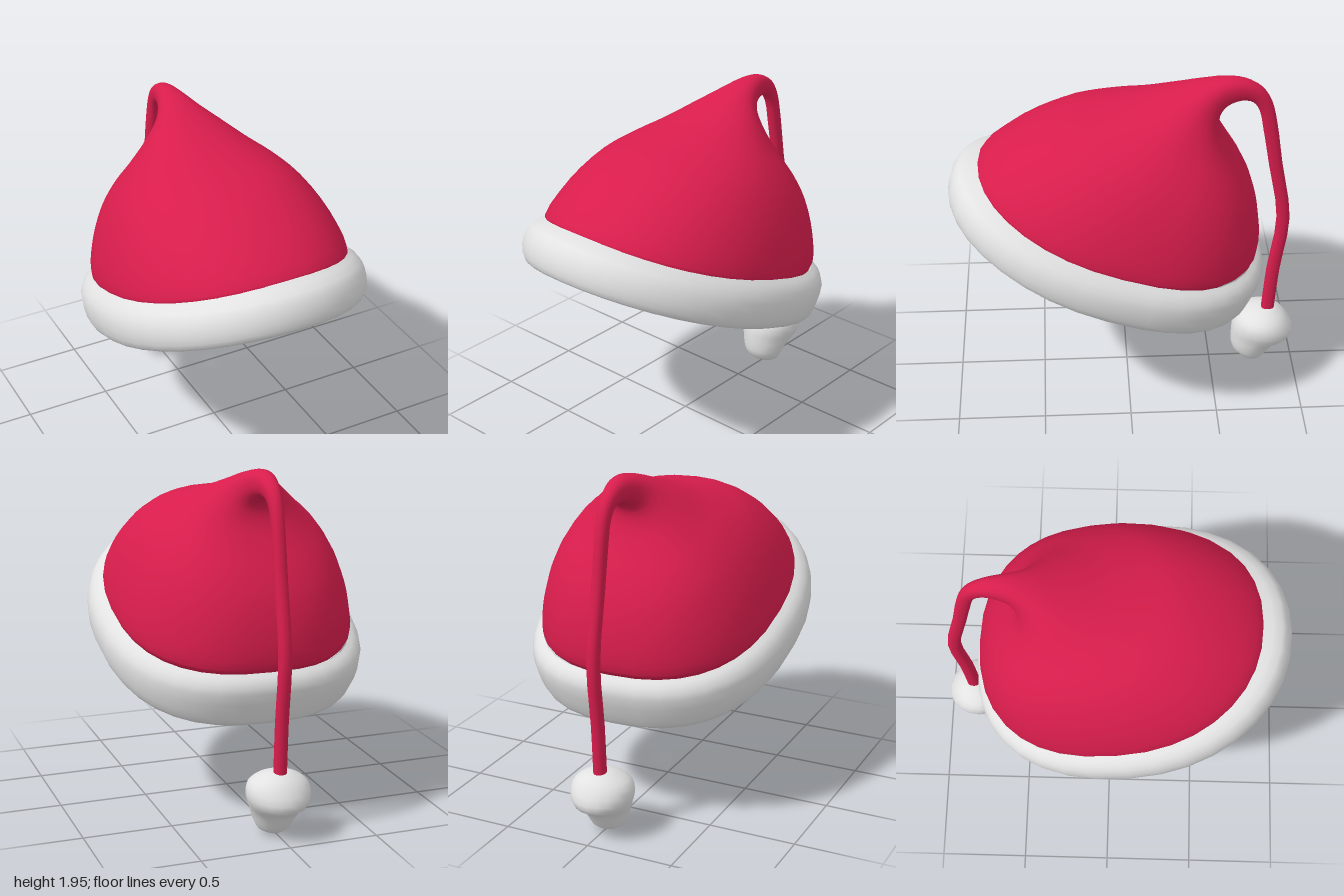
import * as THREE from 'three';

// Loft through rings given as [frontZ, frontY, backZ, backY, halfWidth, sideSag].
// frontPower and backPower square off the two halves of each ring (2 is an ellipse).
function loft(rings, { segments = 36, steps = 2, frontPower = 2, backPower = 2, caps = false } = {}) {
  const front = new THREE.CatmullRomCurve3(rings.map(r => new THREE.Vector3(r[4], r[1], r[0])));
  const back = new THREE.CatmullRomCurve3(rings.map(r => new THREE.Vector3(r[5] || 0, r[3], r[2])));
  const rows = (rings.length - 1) * steps;
  const positions = [], indices = [];
  const bulge = (v, power) => Math.sign(v) * Math.pow(Math.abs(v), 2 / power);
  for (let i = 0; i <= rows; i++) {
    const f = front.getPoint(i / rows), b = back.getPoint(i / rows);
    for (let j = 0; j < segments; j++) {
      const a = (j / segments) * Math.PI * 2;
      const power = Math.cos(a) > 0 ? frontPower : backPower;
      const c = bulge(Math.cos(a), power), s = bulge(Math.sin(a), power);
      positions.push(
        f.x * s,
        (f.y + b.y) / 2 + ((f.y - b.y) / 2) * c - b.x * s * s,
        (f.z + b.z) / 2 + ((f.z - b.z) / 2) * c
      );
    }
  }
  for (let i = 0; i < rows; i++) {
    for (let j = 0; j < segments; j++) {
      const k = (j + 1) % segments;
      const p = i * segments + j, q = i * segments + k;
      indices.push(p, q, p + segments, q, q + segments, p + segments);
    }
  }
  if (caps) {
    // Close both ends with a fan around the ring centre
    for (const row of [0, rows]) {
      const r = rings[row ? rings.length - 1 : 0];
      const centre = positions.length / 3, base = row * segments;
      positions.push(0, (r[1] + r[3]) / 2, (r[0] + r[2]) / 2);
      for (let j = 0; j < segments; j++) {
        const p = base + j, q = base + (j + 1) % segments;
        if (row) indices.push(p, q, centre);
        else indices.push(q, p, centre);
      }
    }
  }
  const geometry = new THREE.BufferGeometry();
  geometry.setAttribute('position', new THREE.Float32BufferAttribute(positions, 3));
  geometry.setIndex(indices);
  geometry.computeVertexNormals();
  return geometry;
}

export function createModel() {
  const red = new THREE.MeshStandardMaterial({ color: 0xd81d4c, side: THREE.DoubleSide });
  red.name = 'red felt';
  const white = new THREE.MeshStandardMaterial({ color: 0xe2e2e2, side: THREE.DoubleSide });
  white.name = 'white fur';

  const model = new THREE.Group();
  model.name = 'floppyHat';
  const add = (name, geometry, material) => {
    const mesh = new THREE.Mesh(geometry, material);
    mesh.name = name;
    model.add(mesh);
  };

  // Crown, rising to a peak that leans back
  const crown = [
    [0.825, 1.415, -0.71, 0.885, 0.655, 0.06],
    [0.825, 1.46, -0.742, 0.92, 0.672, 0.06],
    [0.65, 1.60, -0.746, 1.08, 0.63, 0.035],
    [0.39, 1.722, -0.71, 1.26, 0.542, 0.015],
    [0.16, 1.77, -0.65, 1.40, 0.442],
    [-0.04, 1.812, -0.575, 1.53, 0.335],
    [-0.24, 1.872, -0.515, 1.65, 0.225],
    [-0.40, 1.925, -0.505, 1.735, 0.13],
    [-0.53, 1.95, -0.54, 1.785, 0.08],
  ];
  // Thin tail, curling over and hanging down behind
  const tail = [
    [-0.64, 1.94, -0.62, 1.815, 0.055],
    [-0.735, 1.885, -0.685, 1.80, 0.042],
    [-0.79, 1.80, -0.725, 1.74, 0.036],
    [-0.825, 1.67, -0.752, 1.62, 0.035],
    [-0.87, 1.40, -0.797, 1.38, 0.035],
    [-0.935, 1.02, -0.86, 1.02, 0.035],
    [-0.898, 0.65, -0.822, 0.65, 0.035],
    [-0.88, 0.34, -0.803, 0.34, 0.035],
  ];
  add('crownAndTail', loft([...crown, ...tail], { steps: 3, frontPower: 2.2, backPower: 2.35 }), red);

  // Fur brim: inner wall, lower lip, rounded outside, top edge
  add('brim', loft([
    [0.825, 1.415, -0.71, 0.885, 0.655, 0.06],
    [0.90, 1.335, -0.71, 0.78, 0.675, 0.06],
    [0.95, 1.25, -0.675, 0.63, 0.69, 0.055],
    [0.985, 1.24, -0.695, 0.60, 0.705, 0.055],
    [1.0, 1.285, -0.735, 0.67, 0.74, 0.06],
    [0.985, 1.36, -0.78, 0.79, 0.75, 0.06],
    [0.935, 1.43, -0.768, 0.855, 0.72, 0.06],
    [0.82, 1.45, -0.73, 0.895, 0.667, 0.06],
  ], { frontPower: 2.1, backPower: 2.4 }), white);

  // Lopsided pompom, narrower below and bulging backwards
  add('pompom', loft([
    [-0.74, 0.0, -0.80, 0.005, 0.035],
    [-0.69, 0.03, -0.835, 0.03, 0.088],
    [-0.64, 0.08, -0.87, 0.08, 0.116],
    [-0.63, 0.14, -0.92, 0.145, 0.138],
    [-0.63, 0.19, -0.985, 0.18, 0.156],
    [-0.635, 0.25, -1.0, 0.23, 0.176],
    [-0.655, 0.305, -0.965, 0.30, 0.168],
    [-0.70, 0.345, -0.925, 0.342, 0.12],
    [-0.775, 0.37, -0.875, 0.37, 0.055],
  ], { segments: 20, caps: true }), white);

  return model;
}
